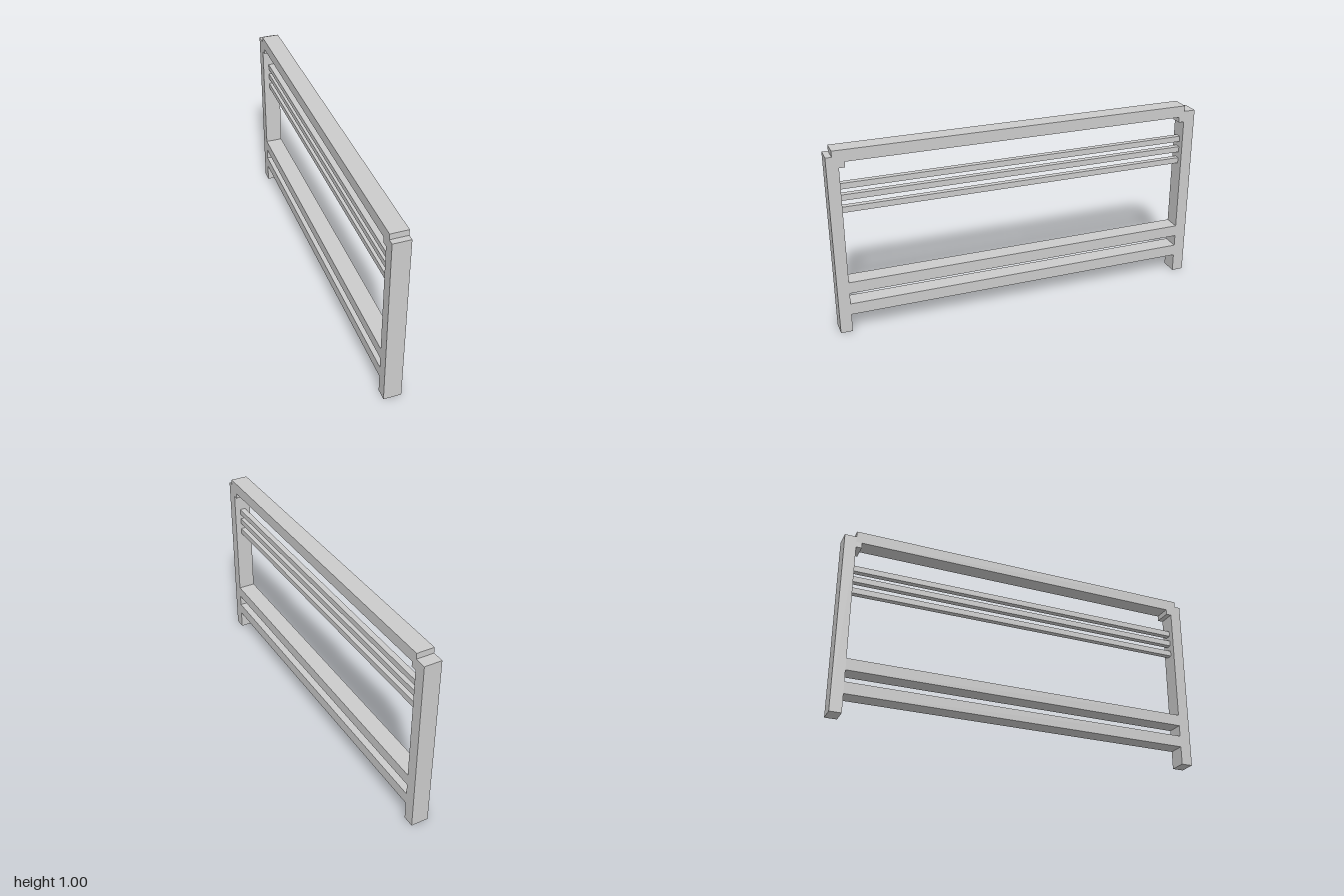
import * as THREE from 'three';

export function createModel() {
  const group = new THREE.Group();
  const material = new THREE.MeshStandardMaterial({ color: 0xcccccc, flatShading: true });
  const width = 0.093; // depth of the frame timber along x
  const inner = 0.938; // inner face of the posts along z

  // Box given by its y and z limits, centred on x = 0
  const beam = (name, w, y0, y1, z0, z1) => {
    const mesh = new THREE.Mesh(new THREE.BoxGeometry(w, y1 - y0, z1 - z0), material);
    mesh.position.set(0, (y0 + y1) / 2, (z0 + z1) / 2);
    mesh.name = name;
    group.add(mesh);
  };

  // End posts
  beam('frontPost', width, 0, 0.969, inner, 1);
  beam('backPost', width, 0, 0.969, -1, -inner);

  // Top rail, lapping half way over the front post only
  beam('topRail', width, 0.938, 1, -inner, 0.969);

  // Small corner blocks under the top rail
  beam('frontCornerBlock', width, 0.909, 0.938, 0.908, inner);
  beam('backCornerBlock', width, 0.909, 0.938, -inner, -0.908);

  // Thin slats, set in the middle of the posts
  [0.659, 0.724, 0.785].forEach((y, i) =>
    beam(`slat${i + 1}`, 0.031, y, y + 0.031, -inner, inner));

  // Lower rails
  [0.099, 0.222].forEach((y, i) =>
    beam(`lowerRail${i + 1}`, width, y, y + 0.062, -inner, inner));

  return group;
}
